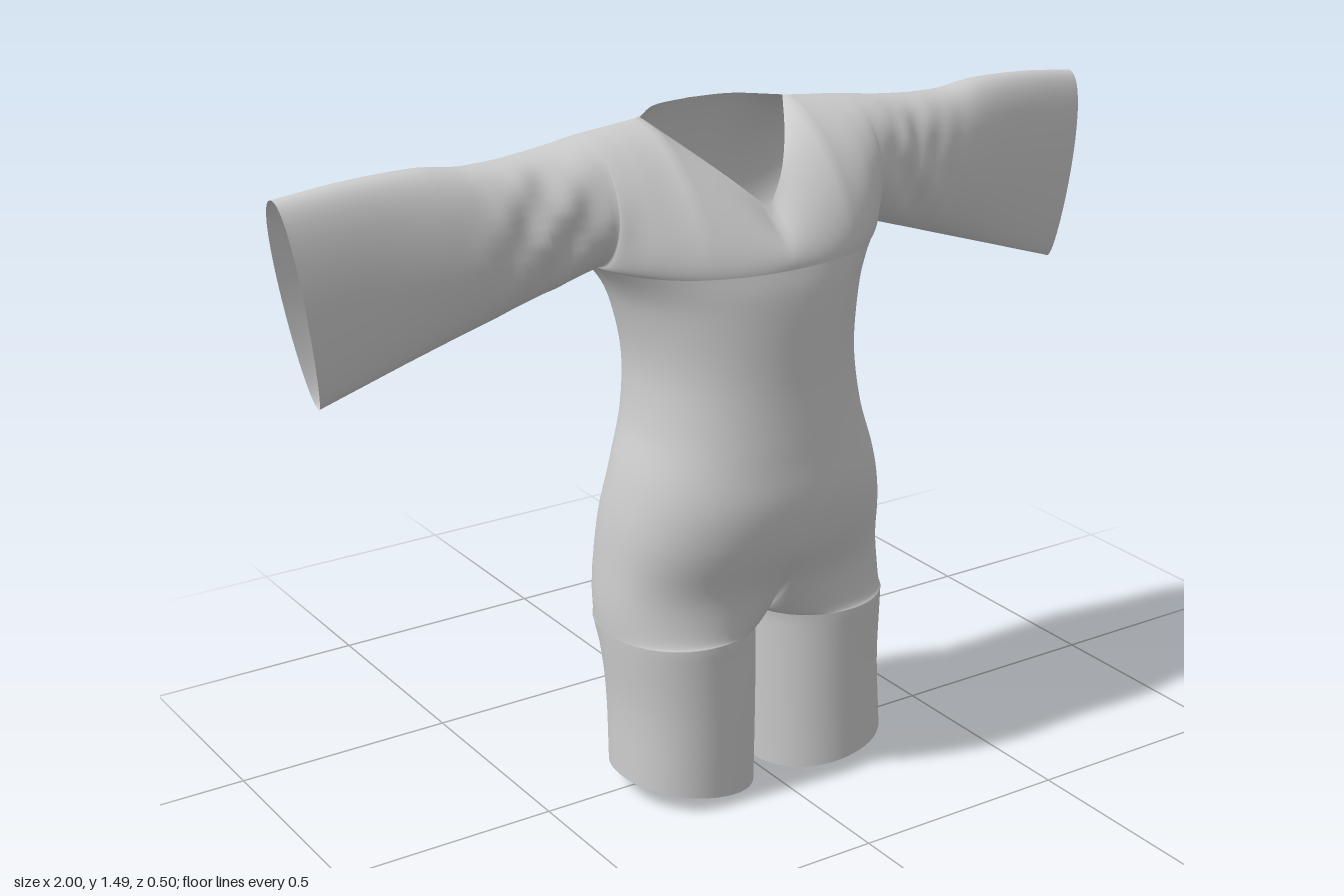
import * as THREE from 'three';
import { mergeGeometries, mergeVertices } from 'three/addons/utils/BufferGeometryUtils.js';

const { lerp, smoothstep } = THREE.MathUtils;

// Interpolates [position, value] pairs, smoothly or in straight pieces
function curve(pts, straight = false) {
  const n = pts.length - 1;
  const slope = (i) => {
    const a = pts[Math.max(i - 1, 0)], b = pts[Math.min(i + 1, n)];
    return (b[1] - a[1]) / (b[0] - a[0]);
  };
  return (x) => {
    let i = 0;
    while (i < n - 1 && x > pts[i + 1][0]) i++;
    const [x0, y0] = pts[i], [x1, y1] = pts[i + 1], d = x1 - x0;
    const t = Math.min(Math.max((x - x0) / d, 0), 1);
    if (straight) return lerp(y0, y1, t);
    const t2 = t * t, t3 = t2 * t;
    return y0 * (2 * t3 - 3 * t2 + 1) + y1 * (3 * t2 - 2 * t3)
      + d * (slope(i) * (t3 - 2 * t2 + t) + slope(i + 1) * (t3 - t2));
  };
}

const ARM_X = 0.33, ARM_Y = 1.21, CROTCH = 0.39, NECK_X = ARM_X * Math.sin(33 * Math.PI / 180);

// Trunk and legs, by height
const width = curve([[0, 0.33], [0.2, 0.328], [0.42, 0.341], [0.55, 0.332], [0.65, 0.32], [0.75, 0.297],
  [0.85, 0.265], [0.95, 0.25], [1.02, 0.252], [1.1, 0.268], [1.15, 0.286], [1.19, 0.312], [ARM_Y, ARM_X]]);
const frontZ = curve([[0, 0.195], [0.3, 0.19], [0.42, 0.19], [0.5, 0.198], [0.6, 0.236], [0.7, 0.254],
  [0.8, 0.246], [0.95, 0.232], [1.1, 0.226], [1.17, 0.219], [ARM_Y, 0.208]]);
const backZ = curve([[0, -0.14], [0.2, -0.148], [0.33, -0.16], [0.4, -0.205], [0.47, -0.24], [0.55, -0.25],
  [0.65, -0.234], [0.73, -0.214], [0.85, -0.222], [1, -0.235], [ARM_Y, -0.245]]);
const seamZ = curve([[0, 0.028], [0.4, 0], [0.9, 0], [1.1, -0.03], [ARM_Y, -0.06]]);
const innerX = curve([[0, 0.018], [0.25, 0.005], [CROTCH, 0]]);

// Shoulder line, neckline and sleeves, by distance from the middle
const shoulderY = curve([[NECK_X, 1.492], [0.33, 1.476], [0.45, 1.46], [0.6, 1.452], [0.7, 1.462], [0.85, 1.456], [1, 1.438]]);
const shoulderZ = curve([[NECK_X, -0.1], [0.33, -0.085], [0.6, -0.085], [1, -0.115]]);
const neckFrontZ = curve([[0, 0.115], [0.06, 0.07], [0.12, -0.005], [NECK_X, -0.1]]);
const neckBackZ = curve([[0, -0.19], [0.1, -0.172], [NECK_X, -0.1]]);
const panels = {
  front: {
    low: curve([[0, 0.212], [0.18, 0.19], [0.27, 0.155], [0.33, 0.105], [0.45, 0.062], [0.6, 0.03], [0.8, -0.025], [1, -0.06]]),
    high: curve([[0, 0.145], [0.18, 0.055], [0.27, 0.075], [0.33, 0.1], [0.45, 0.07], [0.6, 0.045], [0.8, 0.005], [1, -0.02]]),
    lift: curve([[0, 0.05], [0.18, 0.07], [0.27, 0.045], [0.33, 0], [1, 0]], true),
    drop: curve([[0, 0.04], [0.18, 0.012], [0.33, 0], [1, 0]], true),
  },
  back: {
    low: curve([[0, -0.25], [0.18, -0.24], [0.27, -0.245], [0.33, -0.243], [0.6, -0.2], [1, -0.16]]),
    high: curve([[0, -0.225], [0.18, -0.2], [0.27, -0.225], [0.33, -0.24], [0.6, -0.222], [1, -0.225]]),
    lift: curve([[0, 0.09], [0.18, 0.09], [0.27, 0.05], [0.33, 0], [1, 0]], true),
    drop: curve([[0, 0.07], [0.18, 0.02], [0.33, 0], [1, 0]], true),
  },
};

const round = (s, p) => Math.pow(Math.max(0, 1 - Math.pow(Math.abs(s), p)), 1 / p);

// Point on the trunk or a leg: u runs from the middle to the side seam
function trunkPoint(u, y, side) {
  const q = Math.min(Math.max((0.6 - y) / (0.6 - CROTCH), 0), 1);
  const split = 1 - Math.sqrt(1 - q * q); // 0 on the trunk, 1 on separate legs
  const s = lerp(Math.sin(u * Math.PI / 2), (1 - Math.cos(u * Math.PI)) / 2, q);
  const inner = y < CROTCH ? innerX(y) : 0;
  const x = inner + s * (width(y) - inner);
  let depth = lerp(round(s, 2.2), round(2 * s - 1, 2.1), split);
  // Spine hollow
  if (side === 'back') {
    depth *= 1 - 0.07 * Math.exp(-((x / 0.06) ** 2)) * smoothstep(y, 0.68, 0.85) * (1 - smoothstep(y, 1.05, ARM_Y));
  }
  const mid = seamZ(y), edge = side === 'front' ? frontZ(y) : backZ(y);
  const hem = 0.05 * s * Math.max(0, 1 - y / CROTCH);
  return [x, y + 0.004 + hem - 0.004 * Math.min(1, y / CROTCH), mid + (edge - mid) * depth];
}

// Point on the yoke or sleeve: t runs from the lower edge to the shoulder or neckline
function armPoint(x, t, side, base) {
  const p = panels[side], atNeck = x < NECK_X - 1e-6;
  let topY = atNeck ? 1.492 : shoulderY(x), topZ = shoulderZ(x);
  if (atNeck) topZ = side === 'front' ? neckFrontZ(x) : neckBackZ(x);
  if (atNeck && side === 'front') topY = lerp(1.318, 1.492, x / NECK_X);
  const [bx, by, bz] = base;
  const a = (1 - t) ** 3, b = 3 * t * (1 - t) ** 2, c = 3 * t * t * (1 - t), d = t ** 3;
  const y = a * by + b * (by + p.lift(x)) + c * (topY - p.drop(x)) + d * topY;
  let z = a * bz + b * p.low(x) + c * p.high(x) + d * topZ;
  // Cloth folds gathered near the shoulder
  const fold = 0.007 * Math.exp(-(((x - 0.46) / 0.11) ** 2)) * Math.sin(Math.PI * t);
  z += fold * Math.sin(48 * x + 34 * (y - 1.2)) + 0.4 * fold * Math.sin(85 * x - 25 * y);
  return [lerp(bx, x, (y - by) / (topY - by)), y, z];
}

const yokePoint = (u, t, side) => {
  const base = trunkPoint(u, ARM_Y, side);
  return armPoint(base[0], t, side, base);
};
const sleevePoint = (u, t, side) => {
  const x = lerp(ARM_X, 1, u);
  return armPoint(x, t, side, [lerp(ARM_X, 0.94, u), lerp(ARM_Y, 1.005, u), lerp(seamZ(ARM_Y), -0.092, u)]);
};

// Grid of points, reversed where needed so that faces look outward
function patch(us, vs, point, side, mirror) {
  const pos = [], index = [], n = us.length;
  for (const v of vs) {
    for (const u of us) {
      const [x, y, z] = point(u, v, side);
      pos.push(mirror * x, y, z);
    }
  }
  const flip = (side === 'back') !== (mirror < 0);
  for (let j = 0; j < vs.length - 1; j++) {
    for (let i = 0; i < n - 1; i++) {
      const a = j * n + i, b = a + 1, c = b + n, d = a + n;
      index.push(...(flip ? [a, c, b, a, d, c] : [a, b, c, a, c, d]));
    }
  }
  const g = new THREE.BufferGeometry();
  g.setAttribute('position', new THREE.Float32BufferAttribute(pos, 3));
  g.setIndex(index);
  return g;
}

const steps = (n, from = 0, to = 1) => Array.from({ length: n + 1 }, (_, i) => lerp(from, to, i / n));

export function createModel() {
  const across = steps(30);
  const legRows = steps(14, 0, CROTCH);
  const hipRows = steps(16).map((k) => lerp(CROTCH, 0.6, 1 - Math.cos(k * Math.PI / 2)));
  const waistRows = steps(32, 0.6, ARM_Y);
  const around = steps(28).map((k) => (1 - Math.cos(k * Math.PI)) / 2);
  const pieces = [];
  for (const mirror of [1, -1]) {
    for (const side of ['front', 'back']) {
      for (const rows of [legRows, hipRows, waistRows]) pieces.push(patch(across, rows, trunkPoint, side, mirror));
      pieces.push(patch(across, around, yokePoint, side, mirror));
      pieces.push(patch(steps(60), around, sleevePoint, side, mirror));
    }
  }
  // Panels are sewn into one smooth open shell
  const geometry = mergeVertices(mergeGeometries(pieces), 1e-4);
  geometry.computeVertexNormals();
  const garment = new THREE.Mesh(geometry, new THREE.MeshStandardMaterial({ color: 0xcccccc, side: THREE.DoubleSide }));
  garment.name = 'garmentShell';
  const group = new THREE.Group();
  group.name = 'shortJumpsuit';
  group.add(garment);
  return group;
}
